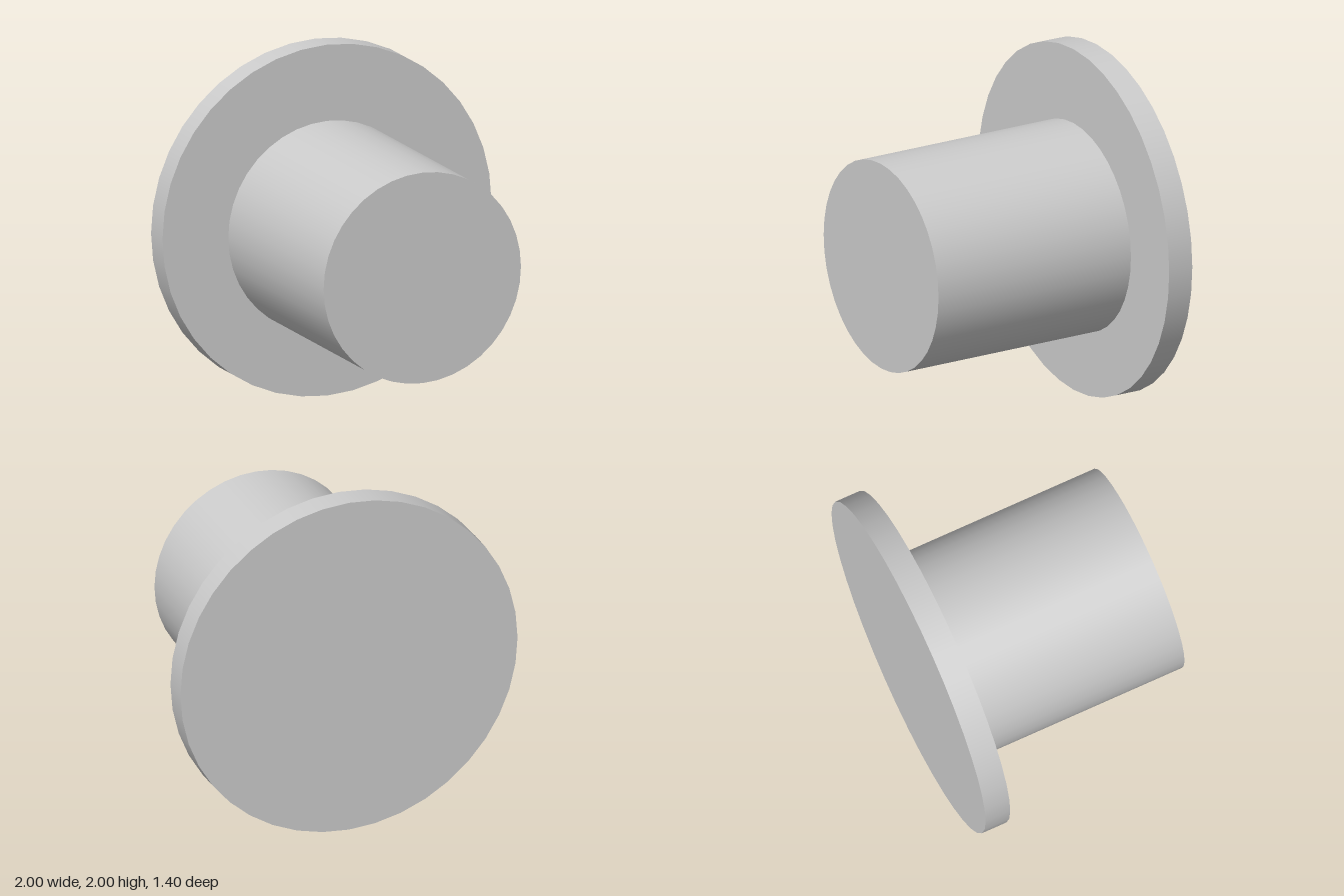
import * as THREE from 'three';

const material = new THREE.MeshStandardMaterial({ color: 0xcccccc });

// Solid round part lying along z, from zBack to zFront
function roundPart(name, radius, y, zBack, zFront) {
  const geometry = new THREE.CylinderGeometry(radius, radius, zFront - zBack, 40);
  geometry.rotateX(Math.PI / 2);
  const mesh = new THREE.Mesh(geometry, material);
  mesh.name = name;
  mesh.position.set(0, y, (zBack + zFront) / 2);
  return mesh;
}

export function createModel() {
  const model = new THREE.Group();
  model.name = 'flangedPlug';

  // Wide thin disc at the back
  model.add(roundPart('flange', 1, 1, -0.7, -0.55));

  // Thick shaft, set slightly below the disc centre, sunk a little into the disc
  model.add(roundPart('shaft', 0.6, 0.966, -0.56, 0.7));

  return model;
}
